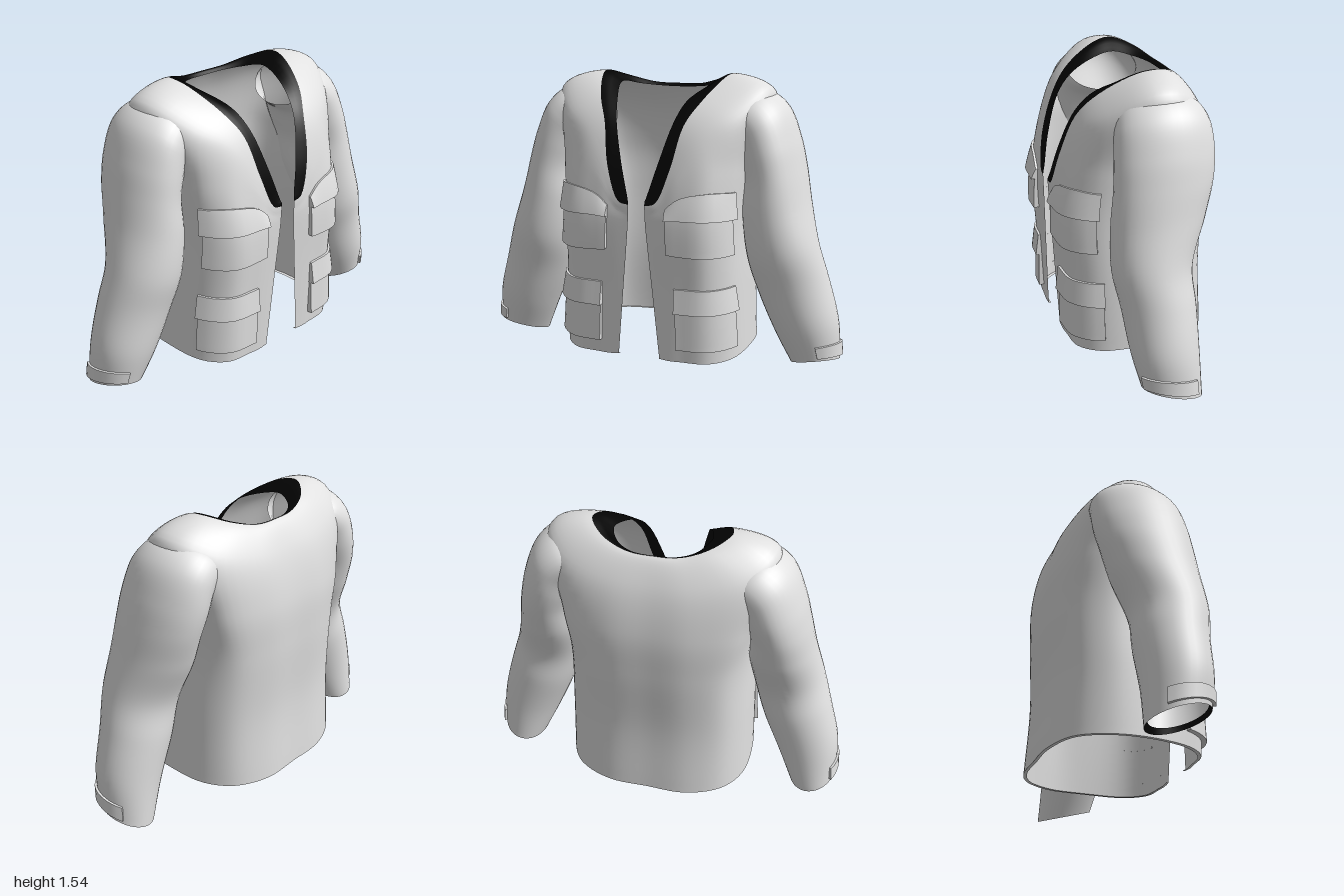
import * as THREE from 'three';
import { toCreasedNormals } from 'three/addons/utils/BufferGeometryUtils.js';

const V = (x, y, z) => new THREE.Vector3(x, y, z);
const triples = (a) => Array.from({ length: a.length / 3 }, (_, i) => V(a[3 * i], a[3 * i + 1], a[3 * i + 2]));
const lerp = THREE.MathUtils.lerp;

// Half cross-sections of the body, from the front opening round the side to the centre back
const hem = triples([.115, .09, .36, .17, .085, .36, .23, .085, .355, .37, .085, .335, .47, .09, .23,
  .51, .1, 0, .49, .1, -.2, .4, .1, -.34, .22, .09, -.415, 0, .09, -.42]);
const chest = triples([.047, .82, .385, .13, .84, .39, .22, .85, .39, .36, .85, .37, .46, .85, .25,
  .48, .85, 0, .47, .85, -.2, .39, .85, -.34, .21, .85, -.41, 0, .85, -.415]);
const armhole = triples([.046, .86, .386, .12, .895, .386, .22, 1.03, .372, .36, 1.1, .33, .475, 1.1, .225,
  .5, 1.1, 0, .5, 1.1, -.2, .44, 1.11, -.325, .22, 1.1, -.405, 0, 1.1, -.41]);
const shoulder = triples([.045, .89, .387, .11, .91, .386, .2, 1.08, .362, .31, 1.26, .3, .47, 1.355, .195,
  .585, 1.462, .01, .58, 1.458, -.14, .46, 1.39, -.275, .2, 1.34, -.35, 0, 1.34, -.35]);
const collar = triples([.045, .91, .387, .1, .925, .385, .17, 1.1, .355, .215, 1.31, .28, .28, 1.43, .18,
  .345, 1.535, 0, .355, 1.55, -.1, .27, 1.515, -.2, .14, 1.48, -.25, 0, 1.475, -.26]);
const neck = triples([.045, .93, .386, .05, .945, .38, .1, 1.12, .34, .155, 1.32, .265, .19, 1.42, .17,
  .245, 1.485, 0, .25, 1.495, -.08, .2, 1.475, -.17, .12, 1.463, -.22, 0, 1.458, -.235]);
const waist = hem.map((p, i) => {
  const q = p.clone().lerp(chest[i], .5);
  if (q.z < 0) q.z *= .955;
  return q;
});
const rings = [hem, waist, chest, armhole, shoulder, collar, neck];
const columns = hem.map((_, i) => new THREE.CatmullRomCurve3(rings.map((r) => r[i])));

// Body surface: u runs 0 to 18 round the wearer, v runs 0 (hem) to 6 (neck)
const rowCache = new Map();
function body(u, v) {
  if (!rowCache.has(v)) {
    const half = columns.map((c) => c.getPoint(v / 6));
    const other = half.slice(0, -1).reverse().map((p) => V(-p.x, p.y, p.z));
    rowCache.set(v, new THREE.CatmullRomCurve3([...half, ...other]));
  }
  return rowCache.get(v).getPoint(u / 18);
}

// Sleeve sections from cuff to shoulder: inner x, y, outer x, y, middle z, half depth
const sections = [
  [.74, .035, .995, .085, 0, .155], [.66, .2, .985, .29, .02, .17], [.56, .43, .925, .52, .03, .185],
  [.5, .62, .87, .7, .045, .2], [.46, .85, .815, .9, 0, .235], [.46, 1.02, .775, 1.08, -.035, .25],
  [.44, 1.1, .735, 1.23, -.05, .255], [.4, 1.2, .665, 1.39, -.06, .245],
  [.34, 1.25, .57, 1.465, -.065, .22], [.3, 1.28, .45, 1.48, -.07, .17],
];
const innerLine = new THREE.CatmullRomCurve3(sections.map((s) => V(s[0], s[1], 0)));
const outerLine = new THREE.CatmullRomCurve3(sections.map((s) => V(s[2], s[3], 0)));
const depthLine = new THREE.CatmullRomCurve3(sections.map((s) => V(s[0], s[4], s[5])));

// Sleeve surface: u runs 0 to 1 round the arm, v runs 0 (cuff, raised in front) to 9 (shoulder)
function sleeve(u, v, size = 1) {
  const a = u * Math.PI * 2 - Math.PI / 2;
  const t = v / 9, d = depthLine.getPoint(t);
  const p = innerLine.getPoint(t).lerp(outerLine.getPoint(t), .5 + .5 * size * Math.sin(a));
  p.y += .042 * size * Math.cos(a) * Math.max(0, 1 - v / 1.5);
  p.z = d.y + d.z * size * Math.cos(a);
  return p;
}

// Turns a surface rule into a smooth grid; side -1 mirrors it in x
function grid(point, us, vs, side = 1, crease = 1.0) {
  const pos = [], index = [], n = us.length;
  vs.forEach((v, j) => us.forEach((u, i) => {
    const p = point(u, v, i, j);
    pos.push(p.x * side, p.y, p.z);
    if (i && j) {
      const d = j * n + i, c = d - 1, b = d - n, a = b - 1;
      index.push(...(side > 0 ? [a, b, d, a, d, c] : [a, d, b, a, c, d]));
    }
  }));
  const g = new THREE.BufferGeometry();
  g.setAttribute('position', new THREE.Float32BufferAttribute(pos, 3));
  g.setIndex(index);
  return toCreasedNormals(g, crease);
}
const steps = (a, b, n) => Array.from({ length: n + 1 }, (_, i) => lerp(a, b, i / n));

// Raised panel that follows a surface, with thickness given at its bottom and top edges
function panel(surface, u0, u1, v0, v1, low, high, side) {
  const us = [u0, ...steps(u0, u1, 10), u1], vs = [v0, ...steps(v0, v1, 6), v1];
  const e = (u1 - u0) * .01, f = (v1 - v0) * .01;
  return grid((u, v, i, j) => {
    const p = surface(u, v);
    const n = surface(u + e, v).sub(p).cross(surface(u, v + f).sub(p)).normalize();
    const rim = i === 0 || j === 0 || i === us.length - 1 || j === vs.length - 1;
    return p.addScaledVector(n, rim ? 0 : lerp(low, high, (v - v0) / (v1 - v0)));
  }, us, vs, side, .6);
}

export function createModel() {
  const jacket = new THREE.Group();
  jacket.name = 'jacket';
  const cloth = new THREE.MeshStandardMaterial({ color: 0xe0e0e0, side: THREE.DoubleSide });
  cloth.name = 'light grey cloth';
  const black = new THREE.MeshStandardMaterial({ color: 0x030303, side: THREE.DoubleSide });
  black.name = 'black trim';
  const add = (name, geometry, material) => {
    const mesh = new THREE.Mesh(geometry, material);
    mesh.name = name;
    jacket.add(mesh);
  };

  // Open-fronted body and its neck trim
  add('body', grid(body, steps(0, 18, 90), steps(0, 5, 40)), cloth);
  add('neckTrim', grid(body, steps(0, 18, 90), steps(5, 6, 4)), black);

  // Hem turned inwards
  add('hemFold', grid((u, v) => {
    const p = body(u, 0);
    return V(p.x * (1 - .04 * v), p.y, p.z * (1 - .04 * v));
  }, steps(0, 18, 90), [1, 0]), cloth);

  for (const side of [1, -1]) {
    const label = side > 0 ? 'left' : 'right';

    // Sleeve, dark cuff lining and cuff strap
    add(label + 'Sleeve', grid((u, v) => sleeve(u, v), steps(0, 1, 36), steps(0, 8.4, 54), side), cloth);
    add(label + 'CuffLining', grid((u, v) => sleeve(u, v * .16, 1 - .12 * v),
      steps(0, 1, 36), [1, 0], side), black);
    add(label + 'CuffStrap', panel(sleeve, .3, .6, .12, .48, .016, .012, side), cloth);

    // Chest pocket and hip pocket, each a pouch under a flap
    add(label + 'ChestPocket', panel(body, 1.35, 4.0, 1.5, 2.03, .028, .014, side), cloth);
    add(label + 'ChestFlap', panel(body, 1.35, 4.05, 2.0, 2.52, .036, .012, side), cloth);
    add(label + 'HipPocket', panel(body, 1.75, 4.1, .2, .74, .028, .014, side), cloth);
    add(label + 'HipFlap', panel(body, 1.7, 4.12, .72, 1.05, .034, .012, side), cloth);
  }
  return jacket;
}
